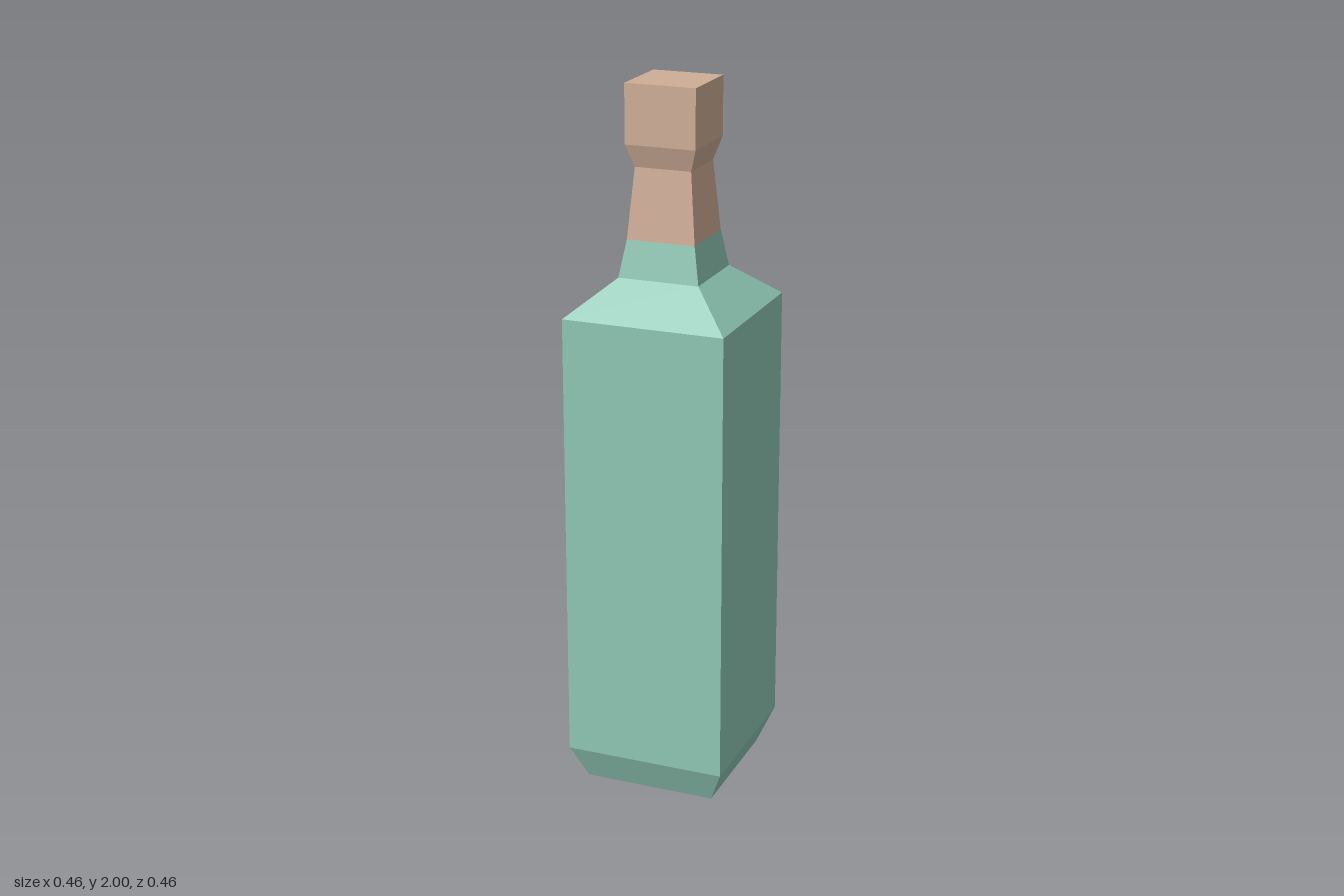
import * as THREE from 'three';

const GLASS = new THREE.MeshStandardMaterial({ color: 0x8fc6b3, flatShading: true });
const CORK = new THREE.MeshStandardMaterial({ color: 0xcdad96, flatShading: true });

// One square tapered section between two heights, given half-widths
function section(name, material, [y0, w0], [y1, w1], open = true) {
  const geo = new THREE.CylinderGeometry(w1 * Math.SQRT2, w0 * Math.SQRT2, y1 - y0, 4, 1, open);
  geo.rotateY(Math.PI / 4);
  geo.translate(0, (y0 + y1) / 2, 0);
  const mesh = new THREE.Mesh(geo, material);
  mesh.name = name;
  return mesh;
}

// Flat coloured shard on the -x wall, outlined as [z, y] points
function shard(name, points) {
  const shape = new THREE.Shape(points.map(([z, y]) => new THREE.Vector2(z, y)));
  const mesh = new THREE.Mesh(new THREE.ShapeGeometry(shape), CORK);
  mesh.rotation.y = -Math.PI / 2;
  mesh.position.x = -0.231;
  mesh.name = name;
  return mesh;
}

export function createModel() {
  const bottle = new THREE.Group();
  bottle.name = 'bottle';

  // Height and half-width of every ring, bottom to top
  const rings = [
    [0, 0.188], [0.1, 0.23], [1.38, 0.23], [1.477, 0.115],
    [1.58, 0.097], [1.775, 0.08], [1.837, 0.1], [2, 0.1],
  ];
  const names = ['base', 'body', 'shoulder', 'lowerNeck', 'upperNeck', 'stopperFlare', 'stopper'];
  names.forEach((name, i) => {
    const closed = i === 0 || i === names.length - 1;
    bottle.add(section(name, i < 4 ? GLASS : CORK, rings[i], rings[i + 1], !closed));
  });

  // Bare shards showing on one wall
  bottle.add(shard('upperShard', [
    [-0.23, 1.38], [-0.23, 1.0], [-0.12, 1.01], [0.09, 1.18], [0.14, 1.28], [0.14, 1.38],
  ]));
  bottle.add(shard('lowerShard', [[-0.23, 0.61], [-0.23, 0.31], [0.22, 0.47]]));

  return bottle;
}
